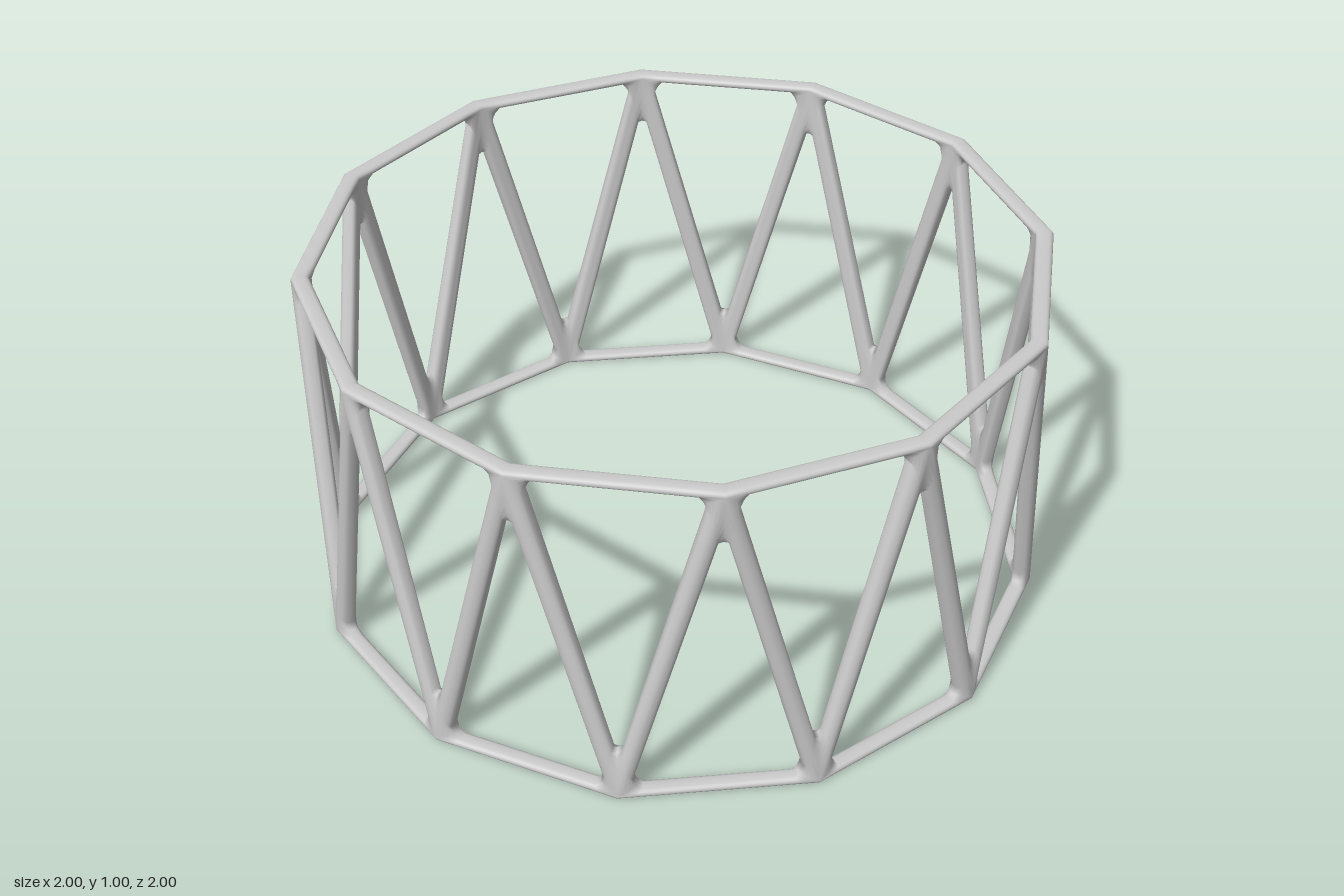
import * as THREE from 'three';
import { mergeVertices } from 'three/addons/utils/BufferGeometryUtils.js';

const SIDES = 12;
const RADIUS = 0.976;      // centre line of the band
const THICK = 0.024;       // half thickness, radially
const RING = 0.012;        // half height of the rings
const STRUT = 0.027;       // half width of the struts
const HEIGHT = 1;
const ROWS = 10;

// Corner of a ring: its position and outward direction
function node(step, y) {
  const a = (step * 2 * Math.PI) / SIDES;
  const n = new THREE.Vector3(Math.sin(a), 0, Math.cos(a));
  return { p: n.clone().multiplyScalar(RADIUS).setY(y), n };
}

function between(a, b, t) {
  return { p: a.p.clone().lerp(b.p, t), n: a.n.clone().lerp(b.n, t) };
}

// Rounded section: how far across, and how far out, at angle a
function section(a) {
  const c = Math.cos(a);
  return [Math.sin(a), Math.sign(c) * Math.pow(Math.abs(c), 0.6) * THICK];
}

function createLattice() {
  const positions = [];
  const quad = (a, b, c, d) => {
    for (const v of [a, b, c, a, c, d]) positions.push(v.x, v.y, v.z);
  };

  // Skin spanned by at(row angle, column), facing outwards
  const skin = (columns, at, flip) => {
    for (let r = 0; r < ROWS; r++) {
      const a0 = (r / ROWS) * Math.PI, a1 = ((r + 1) / ROWS) * Math.PI;
      for (let k = 0; k < columns; k++) {
        const p = at(a0, k), q = at(a0, k + 1), s = at(a1, k + 1), t = at(a1, k);
        if (flip) quad(q, p, t, s); else quad(p, q, s, t);
      }
    }
  };

  // One triangular bay: A-B is the ring side, C the apex
  const bay = (A, B, C) => {
    const mid = A.p.clone().lerp(B.p, 0.5);
    const along = B.p.clone().sub(A.p).normalize();
    const up = C.p.clone().sub(mid);
    const s = A.p.distanceTo(B.p) / 2, H = up.length();
    const at = (u, v) => mid.clone().addScaledVector(along, u).addScaledVector(up, v / H);
    const strutEdge = (v) => s * (1 - v / H) - STRUT;

    // Outline along the centre lines
    const f = 0.1;
    const outline = [
      A, between(A, B, f), between(A, B, 1 - f),
      B, between(B, C, f), between(B, C, 1 - f),
      C, between(C, A, f), between(C, A, 1 - f),
    ];

    // Opening with cut corners
    const low = at(-s + 0.062, RING), low2 = at(s - 0.062, RING);
    const side = at(strutEdge(0.045), 0.045), side2 = at(-strutEdge(0.045), 0.045);
    const v = H - 0.15;
    const tip = at(strutEdge(v), v), tip2 = at(-strutEdge(v), v);
    const half = (a, b) => a.clone().lerp(b, 0.5);
    const hole = [
      half(side2, low), low, low2,
      half(low2, side), side, tip,
      half(tip, tip2), tip2, side2,
    ];
    skin(9, (a, k) => {
      const [across, out] = section(a);
      const o = outline[k % 9];
      return o.p.clone().lerp(hole[k % 9], across).addScaledVector(o.n, out);
    }, false);

    // Rounded outer half of the ring bar
    const away = -Math.sign(C.p.y - A.p.y) * RING;
    skin(3, (a, k) => {
      const [across, out] = section(a);
      const p = outline[k].p.clone().addScaledVector(outline[k].n, out);
      p.y += across * away;
      return p;
    }, true);
  };

  // Alternating upright and inverted bays
  for (let i = 0; i < SIDES; i++) {
    const low = (j) => node(j, RING);
    const high = (j) => node(j + 0.5, HEIGHT - RING);
    bay(low(i), low(i + 1), high(i));
    bay(high(i + 1), high(i), low(i + 1));
  }

  const geometry = new THREE.BufferGeometry();
  geometry.setAttribute('position', new THREE.Float32BufferAttribute(positions, 3));
  const welded = mergeVertices(geometry, 1e-4);
  welded.computeVertexNormals();
  return welded;
}

export function createModel() {
  const group = new THREE.Group();
  group.name = 'triangulatedRing';
  const band = new THREE.Mesh(
    createLattice(),
    new THREE.MeshStandardMaterial({ color: 0xcccccc })
  );
  band.name = 'latticeBand';
  group.add(band);
  return group;
}
